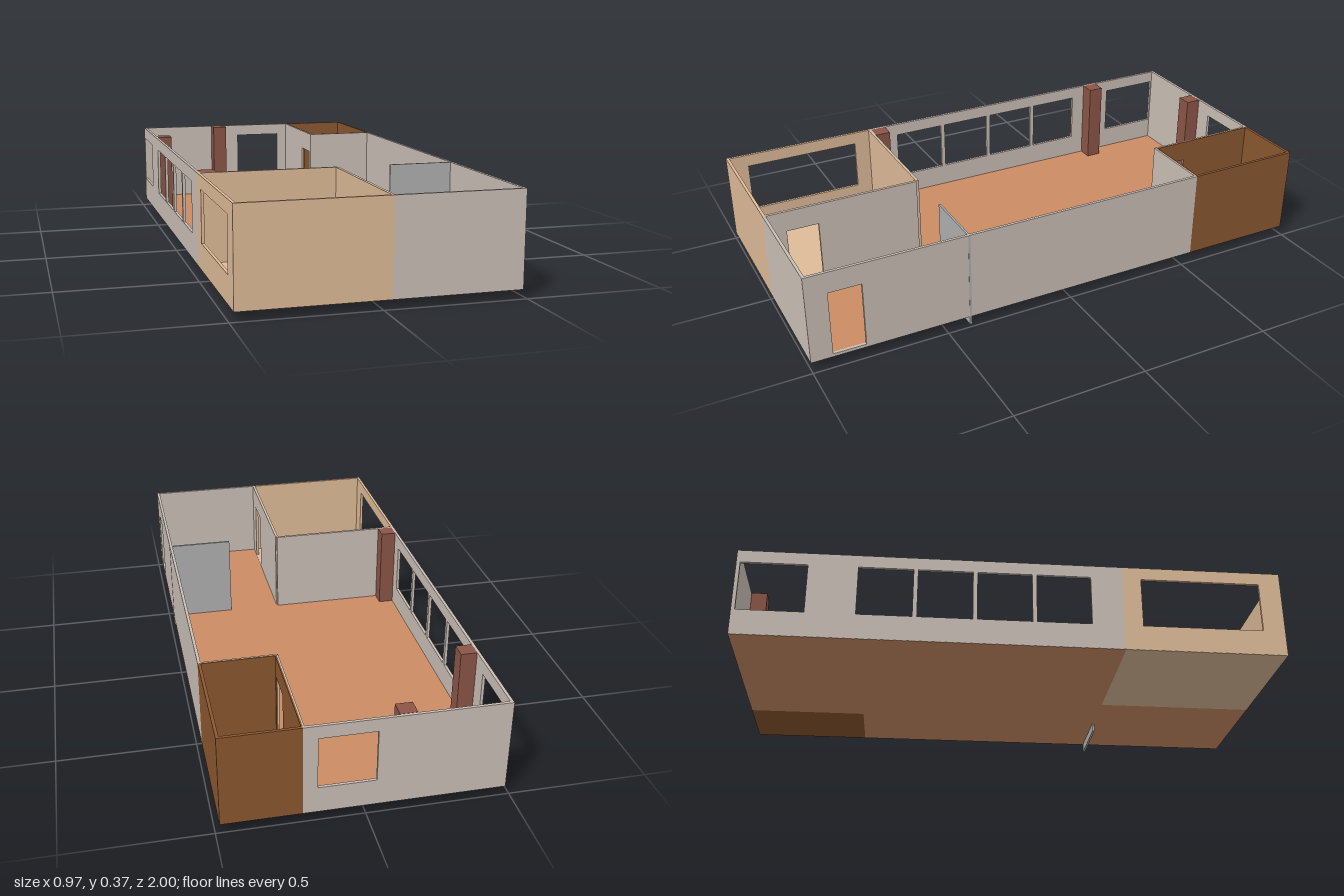
import * as THREE from 'three';

const BASE = 0.033, TOP = 0.37, T = 0.011; // wall bottom, wall top, wall thickness
const X = 0.485, Z = 1;                    // half extents of the plan
const mat = (color) => new THREE.MeshStandardMaterial({ color });
const plaster = mat(0xcabfb6), beige = mat(0xdebb98), brown = mat(0x8a5830);
const terracotta = mat(0xcb8c64), brick = mat(0x8b5547), panelGrey = mat(0xb0b0b0);

// openings: [start, end, bottom, top] along the wall
const win = (a, b) => [a, b, 0.13, 0.322];
const door = (a, b) => [a, b, 0.045, 0.29];

export function createModel() {
  const model = new THREE.Group();

  const add = (name, geometry, material) => {
    const mesh = new THREE.Mesh(geometry, material);
    mesh.name = name;
    model.add(mesh);
  };

  const box = (name, material, x0, x1, y0, y1, z0, z1) => {
    const g = new THREE.BoxGeometry(x1 - x0, y1 - y0, z1 - z0);
    g.translate((x0 + x1) / 2, (y0 + y1) / 2, (z0 + z1) / 2);
    add(name, g, material);
  };

  // Upright wall from a to b along the given axis, its lower side at pos
  const wall = (name, material, axis, pos, thick, a, b, openings = []) => {
    const rect = (P, u0, u1, v0, v1) => {
      const p = new P();
      p.moveTo(u0, v0);
      p.lineTo(u1, v0);
      p.lineTo(u1, v1);
      p.lineTo(u0, v1);
      p.closePath();
      return p;
    };
    const shape = rect(THREE.Shape, a, b, BASE, TOP);
    openings.forEach((o) => shape.holes.push(rect(THREE.Path, ...o)));
    const g = new THREE.ExtrudeGeometry(shape, { depth: thick, bevelEnabled: false });
    if (axis === 'x') g.translate(0, 0, pos);
    else g.rotateY(-Math.PI / 2).translate(pos + thick, 0, 0);
    add(name, g, material);
  };

  // Partition with a different finish on each side
  const partition = (name, axis, pos, lowMat, highMat, a, b, openings) => {
    wall(name + 'LowSide', lowMat, axis, pos, T / 2, a, b, openings);
    wall(name + 'HighSide', highMat, axis, pos + T / 2, T / 2, a, b, openings);
  };

  // Floors, inset a hair inside the outer faces
  const e = 0.001, f0 = BASE - 0.0005, f1 = 0.043;
  box('hallFloorBack', terracotta, -X + e, 0.21, f0, f1, -Z + e, -0.55);
  box('hallFloor', terracotta, -X + e, X - e, f0, f1, -0.55, 0.405);
  box('entranceFloor', terracotta, 0.03, X - e, f0, f1, 0.405, Z - e);
  box('sideRoomFloor', beige, -X + e, 0.03, f0, f1, 0.405, Z - e);
  box('storeFloor', brown, 0.21, X - e, f0, f1, -Z + e, -0.55);

  // Row of four windows in the long side wall
  const row = [];
  for (let i = 0; i < 4; i++) row.push(win(-0.564 + i * 0.2165, -0.364 + i * 0.2165));

  // Outer walls
  wall('windowWall', plaster, 'z', -X, T, -Z, 0.404, [win(-0.986, -0.745), ...row]);
  wall('sideRoomWindowWall', beige, 'z', -X, T, 0.404, Z, [win(0.473, 0.918)]);
  wall('sideRoomFrontWall', beige, 'x', Z - T, T, -X + T, 0.03);
  wall('entranceFrontWall', plaster, 'x', Z - T, T, 0.03, X - T);
  wall('entranceSideWall', plaster, 'z', X - T, T, -0.55, Z, [door(0.8, 0.92)]);
  wall('storeSideWall', brown, 'z', X - T, T, -Z, -0.55);
  wall('storeBackWall', brown, 'x', -Z, T, 0.212, X - T);
  wall('hallBackWall', plaster, 'x', -Z, T, -X + T, 0.212, [win(-0.475, -0.225), win(-0.035, 0.162)]);

  // Inner walls
  partition('sideRoomBackPartition', 'x', 0.4, plaster, beige, -X + T, 0.03);
  partition('sideRoomDoorPartition', 'z', 0.024, beige, plaster, 0.4 + T, Z - T, [door(0.8, 0.92)]);
  partition('storeDoorPartition', 'z', 0.205, plaster, brown, -Z + T, -0.555, [door(-0.685, -0.565)]);
  partition('storeFrontPartition', 'x', -0.555, brown, plaster, 0.205, X - T);

  // Square columns against the walls
  [[-0.445, -0.65], [-0.445, 0.37], [-0.135, -0.958]].forEach(([x, z], i) =>
    box('column' + (i + 1), brick, x - 0.03, x + 0.03, 0.04, TOP, z - 0.03, z + 0.03));

  // Full-height screen that reaches below the floor, and a thin floor strip
  box('screenPanel', panelGrey, 0.235, X + 0.001, 0, TOP, 0.401, 0.409);
  box('floorStrip', panelGrey, 0.204, 0.208, 0.036, 0.0435, -0.544, -0.32);

  return model;
}
